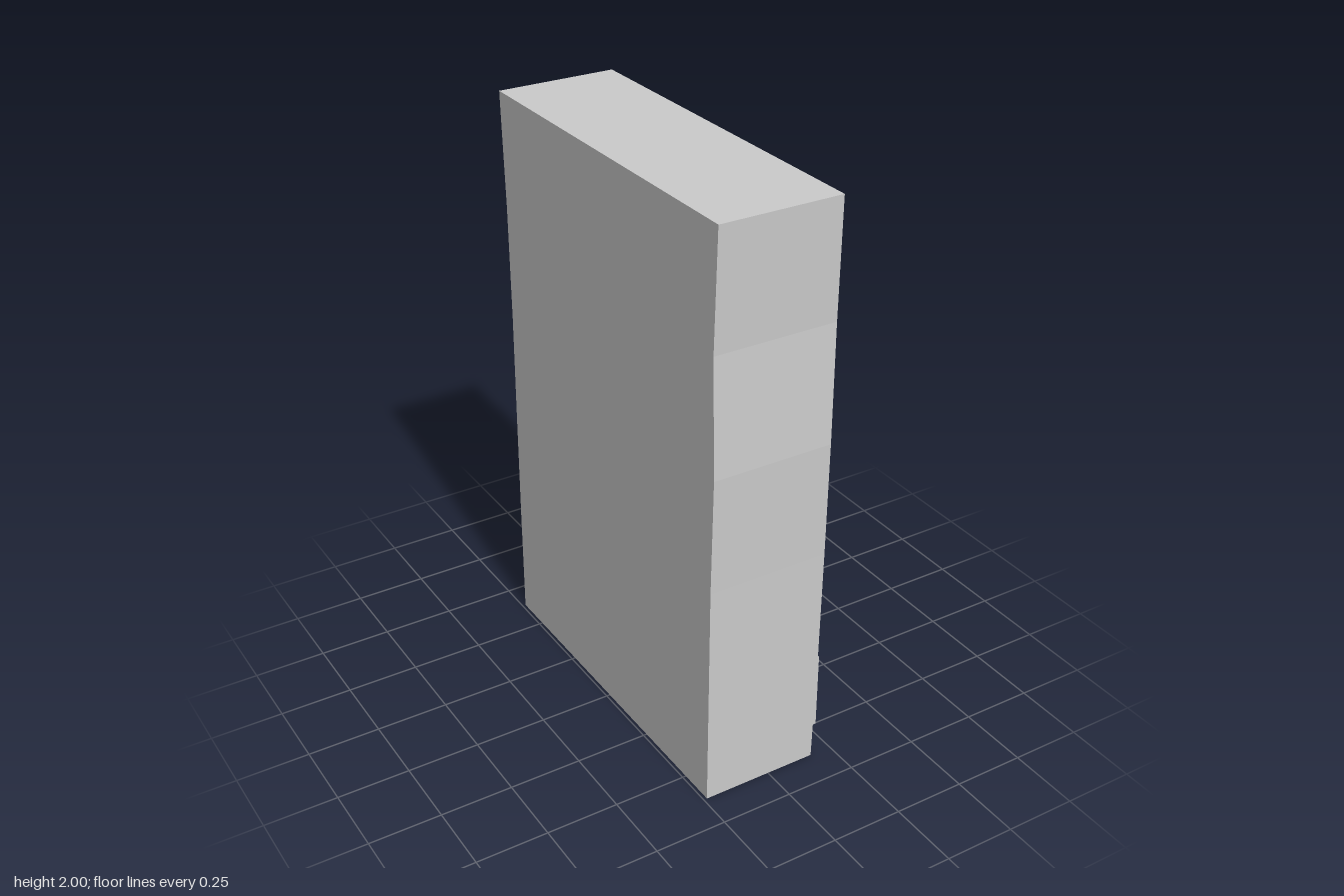
import * as THREE from 'three';

const mat = new THREE.MeshStandardMaterial({ color: 0xcccccc, flatShading: true });

function add(parent, name, geo, x = 0, y = 0, z = 0) {
  const m = new THREE.Mesh(geo, mat);
  m.name = name;
  m.position.set(x, y, z);
  parent.add(m);
  return m;
}

// Hand-cut, slightly bowed case outline: [height, +z side, -z side, front x]
const levels = [
  [0, 0.628, -0.635, 0.172], [0.4, 0.63, -0.634, 0.18], [0.8, 0.632, -0.63, 0.183],
  [1.2, 0.642, -0.625, 0.178], [1.6, 0.63, -0.628, 0.186], [2, 0.645, -0.643, 0.178],
];
// Compartment openings: [bottom, top, +z side, -z side]
const openings = [
  [0.45, 0.79, 0.595, -0.598], [0.84, 1.19, 0.597, -0.6],
  [1.24, 1.58, 0.595, -0.598], [1.64, 1.96, 0.592, -0.59],
];

function frontAt(y) {
  const i = Math.min(4, Math.max(0, Math.floor(y / 0.4)));
  return THREE.MathUtils.lerp(levels[i][3], levels[i + 1][3], y / 0.4 - i);
}

// Outline drawn in (-z, y), extruded towards the open front at +x
function casePanel(x0, depth, holes) {
  const pts = levels.map(l => new THREE.Vector2(-l[2], l[0]));
  pts.push(...[...levels].reverse().map(l => new THREE.Vector2(-l[1], l[0])));
  const shape = new THREE.Shape(pts);
  for (const [b, t, zl, zr] of holes) {
    shape.holes.push(new THREE.Path([
      new THREE.Vector2(-zl, b), new THREE.Vector2(-zl, t),
      new THREE.Vector2(-zr, t), new THREE.Vector2(-zr, b),
    ]));
  }
  const g = new THREE.ExtrudeGeometry(shape, { depth, bevelEnabled: false });
  g.rotateY(Math.PI / 2);
  g.translate(x0, 0, 0);
  return g;
}

// Book: spine towards +x, recessed pages; t thick, h tall, d deep
function book(parent, t, h, d, x, y, z, rx = 0, ry = 0) {
  const g = new THREE.Group();
  g.name = 'book';
  const c = 0.007;
  for (const s of [-1, 1]) add(g, 'cover', new THREE.BoxGeometry(d, h, c), 0, 0, s * (t - c) / 2);
  add(g, 'spine', new THREE.BoxGeometry(c, h, t - 2 * c), (d - c) / 2, 0, 0);
  add(g, 'pages', new THREE.BoxGeometry(d - 0.02, h - 0.02, t - 2 * c), 0.004, 0, 0);
  g.position.set(x, y, z);
  g.rotation.set(rx, ry, 0, 'YXZ');
  parent.add(g);
}
const upright = (p, floor, t, h, z, lean = 0, x = -0.02) => book(p, t, h, 0.24, x, floor + h / 2, z, lean);
const lying = (p, floor, t, len, d, x, z, turn) => book(p, t, len, d, x, floor + t / 2, z, Math.PI / 2, turn);

// Rolled parchment with two ties
function scroll(parent, r, len, x, y, z, turn, tilt = 0) {
  const g = new THREE.Group();
  g.name = 'scroll';
  const roll = [[0.3 * r, -0.46], [0.75 * r, -0.46], [0.8 * r, -0.5], [r, -0.5], [r, 0.5], [0.8 * r, 0.5], [0.75 * r, 0.46], [0.3 * r, 0.46], [0, 0.4]]
    .map(([a, b]) => new THREE.Vector2(a, b * len));
  roll.unshift(new THREE.Vector2(0, -0.4 * len));
  add(g, 'roll', new THREE.LatheGeometry(roll, 12));
  for (const s of [-0.22, 0.22]) add(g, 'tie', new THREE.CylinderGeometry(r * 1.12, r * 1.12, 0.016, 12), 0, s * len, 0);
  g.position.set(x, y, z);
  g.rotation.set(Math.PI / 2 + tilt, turn, 0, 'YXZ');
  parent.add(g);
}

export function createModel() {
  const model = new THREE.Group();
  model.name = 'bookcase';

  // Case with compartments, and back panel
  const frame = casePanel(-0.215, 0.395, openings);
  const p = frame.attributes.position;
  for (let i = 0; i < p.count; i++) if (p.getX(i) > 0) p.setX(i, frontAt(p.getY(i)));
  frame.computeVertexNormals();
  add(model, 'caseFrame', frame);
  add(model, 'backPanel', casePanel(-0.238, 0.023, []));

  // Drawer front, tapering slightly outwards
  const drawer = new THREE.BoxGeometry(0.07, 0.285, 1.16);
  const d = drawer.attributes.position;
  for (let i = 0; i < d.count; i++) {
    if (d.getX(i) > 0) { d.setY(i, d.getY(i) * 0.97); d.setZ(i, d.getZ(i) * 0.992); }
  }
  add(model, 'drawerFront', drawer, 0.194, 0.21, -0.003);

  // Lowest shelf
  const s1 = new THREE.Group();
  s1.name = 'lowestShelfBooks';
  model.add(s1);
  upright(s1, 0.45, 0.06, 0.315, 0.54);
  upright(s1, 0.45, 0.055, 0.27, 0.478, 0.03);
  book(s1, 0.06, 0.31, 0.24, -0.01, 0.607, 0.366, 0.39);
  lying(s1, 0.45, 0.06, 0.44, 0.22, 0.02, -0.34, 0.69);
  lying(s1, 0.51, 0.062, 0.31, 0.2, -0.02, -0.35, 1.16);
  book(s1, 0.053, 0.3, 0.25, 0.04, 0.565, -0.11, -0.96);

  // Second shelf
  const s2 = new THREE.Group();
  s2.name = 'secondShelfBooks';
  model.add(s2);
  [[0, 0.06], [0.02, 0.02], [-0.01, 0.05], [0.01, -0.05]].forEach(([x, turn], i) =>
    lying(s2, 0.845 + i * 0.052, 0.052, 0.47, 0.26, x, 0.32, turn));
  lying(s2, 0.845, 0.03, 0.24, 0.25, 0.02, -0.13, 0);
  lying(s2, 0.876, 0.03, 0.22, 0.24, 0.03, -0.14, -0.08);
  lying(s2, 0.908, 0.05, 0.25, 0.28, 0.05, -0.1, 0.18);
  lying(s2, 0.96, 0.055, 0.21, 0.25, 0.05, -0.13, -0.12);
  for (const [t, h, z, lean] of [[0.075, 0.3, -0.3, 0], [0.04, 0.31, -0.36, -0.02], [0.055, 0.315, -0.4, -0.04],
    [0.058, 0.315, -0.46, 0.02], [0.055, 0.27, -0.525, 0.03]]) upright(s2, 0.845, t, h, z, lean);

  // Third shelf
  const s3 = new THREE.Group();
  s3.name = 'thirdShelfBooks';
  model.add(s3);
  lying(s3, 1.245, 0.062, 0.365, 0.21, -0.01, 0.37, 0.33);
  lying(s3, 1.31, 0.065, 0.365, 0.22, -0.01, 0.37, 0.39);
  lying(s3, 1.378, 0.085, 0.36, 0.24, 0, 0.365, 0.03);
  book(s3, 0.055, 0.32, 0.24, -0.01, 1.402, -0.02, -0.52);
  for (const [t, h, z, lean] of [[0.062, 0.315, -0.16, 0], [0.048, 0.318, -0.215, 0], [0.056, 0.316, -0.268, 0],
    [0.066, 0.317, -0.332, 0], [0.05, 0.275, -0.39, 0.04]]) upright(s3, 1.243, t, h, z, lean);
  book(s3, 0.055, 0.31, 0.24, -0.02, 1.408, -0.51, 0.38);

  // Top shelf: scrolls and a coil of cord
  const s4 = new THREE.Group();
  s4.name = 'topShelfScrolls';
  model.add(s4);
  scroll(s4, 0.029, 0.22, 0.1, 1.672, 0.43, 0.15);
  scroll(s4, 0.03, 0.24, 0.02, 1.672, 0.3, -0.5);
  scroll(s4, 0.028, 0.24, 0.1, 1.672, 0.19, 0.45);
  scroll(s4, 0.034, 0.26, 0.04, 1.676, 0.055, 1.45);
  scroll(s4, 0.026, 0.24, -0.06, 1.67, 0.37, 1.0);
  for (let i = 0; i < 3; i++) {
    const loop = add(s4, 'cordLoop', new THREE.TorusGeometry(0.09, 0.011, 6, 24), 0.02 + i * 0.015, 1.728 + i * 0.009, 0.29);
    loop.scale.set(0.55 + i * 0.12, 1.1, 1);
    loop.rotation.set(Math.PI / 2 - 0.22, 0.2 - i * 0.1, 0, 'YXZ');
  }
  return model;
}
